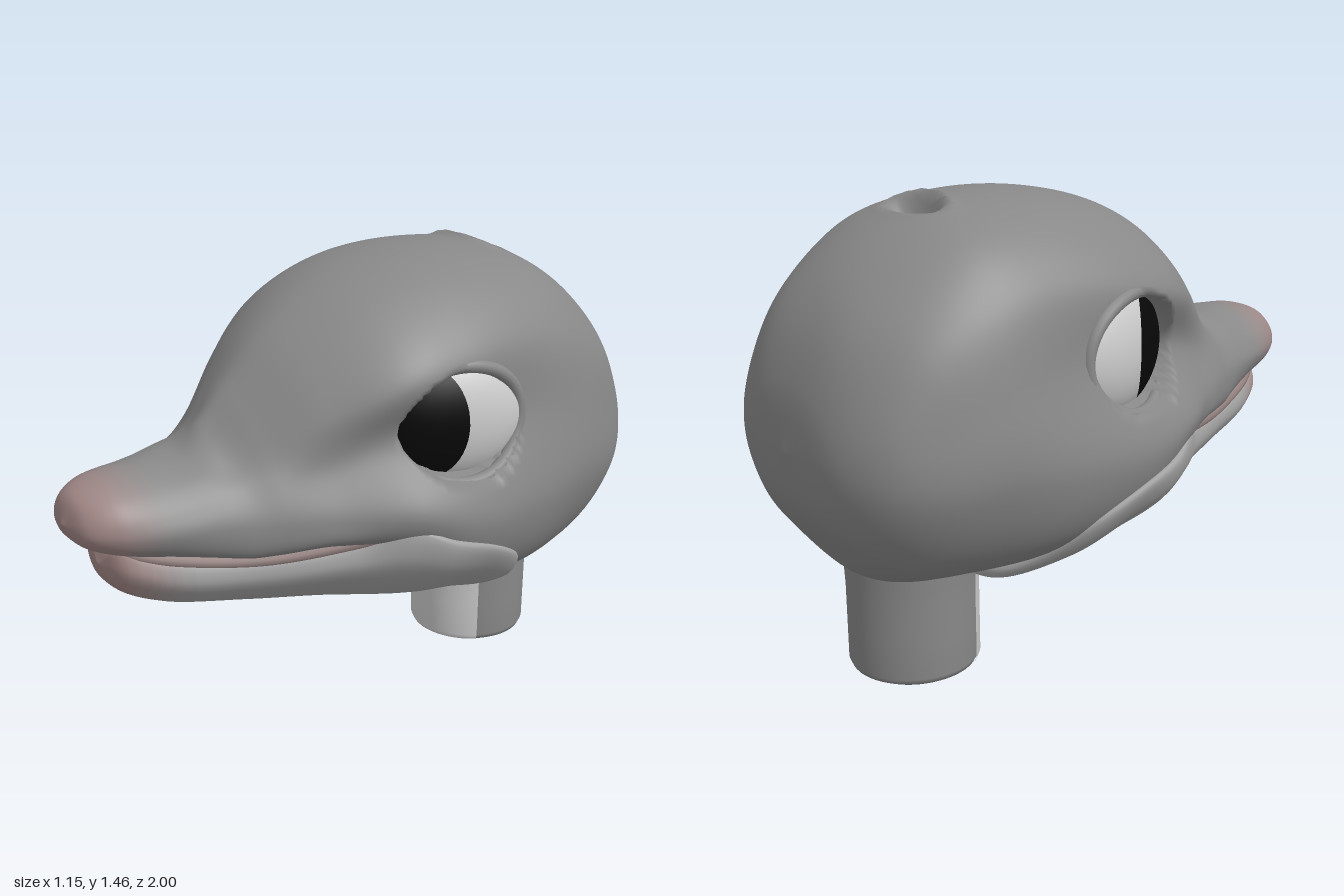
import * as THREE from 'three';
import { mergeVertices } from 'three/addons/utils/BufferGeometryUtils.js';

const SKIN = 0x888888, BELLY = 0xa4a4a4, PINK = 0xa08684;
const mat = (color, side = THREE.FrontSide) => new THREE.MeshStandardMaterial({ color, side });
const smooth = THREE.MathUtils.smoothstep;

function part(name, geometry, material) {
  const m = new THREE.Mesh(geometry, material);
  m.name = name;
  return m;
}

// Lofts mirrored half sections, ordered back to front. Each section runs from
// top centre down the +x side to bottom centre. The front end is tinted in bands.
function loft(sections, rings, around, color, tintFrom, tintTo, deform = () => {}) {
  const n = sections[0].length;
  const rails = sections[0].map((_, k) => new THREE.CatmullRomCurve3(sections.map(s => s[k])));
  const pos = [], idx = [], ringZ = [];
  for (let i = 0; i <= rings; i++) {
    const half = rails.map(r => r.getPoint(i / rings));
    const mirrored = half.slice(1, n - 1).reverse().map(p => new THREE.Vector3(-p.x, p.y, p.z));
    const loop = new THREE.CatmullRomCurve3([...half, ...mirrored], true);
    ringZ.push(half[n >> 1].z);
    for (let j = 0; j < around; j++) {
      const p = loop.getPoint(j / around);
      deform(p);
      pos.push(p.x, p.y, p.z);
    }
  }
  for (let i = 0; i < rings; i++) {
    for (let j = 0; j < around; j++) {
      const a = i * around + j, c = i * around + (j + 1) % around;
      idx.push(a, a + around, c, c, a + around, c + around);
    }
  }
  let g = new THREE.BufferGeometry();
  g.setAttribute('position', new THREE.Float32BufferAttribute(pos, 3));
  g.setIndex(idx);
  g = mergeVertices(g, 1e-5);
  g.computeVertexNormals();
  // tint bands
  const steps = 8, materials = [];
  for (let s = 0; s <= steps; s++) {
    materials.push(mat(new THREE.Color(color).lerp(new THREE.Color(PINK), s / steps)));
  }
  let start = 0;
  const band = i => Math.round(smooth(ringZ[i], tintFrom, tintTo) * steps);
  for (let i = 1; i <= rings; i++) {
    if (i === rings || band(i) !== band(start)) {
      g.addGroup(start * around * 6, (i - start) * around * 6, band(start));
      start = i;
    }
  }
  return [g, materials];
}

// Section from a row: z, top y, side points (x, y)..., bottom y
function section([z, top, ...rest]) {
  const bottom = rest.pop();
  const pts = [new THREE.Vector3(0, top, z)];
  for (let i = 0; i < rest.length; i += 2) pts.push(new THREE.Vector3(rest[i], rest[i + 1], z));
  pts.push(new THREE.Vector3(0, bottom, z));
  return pts;
}
const pole = (z, y, n) => Array.from({ length: n }, () => new THREE.Vector3(0, y, z));

const CRANIUM = [
  [-.975, .97, .12, .95, .21, .88, .25, .8, .235, .72, .15, .63, .61],
  [-.9, 1.15, .18, 1.12, .31, 1.0, .375, .86, .37, .7, .24, .53, .48],
  [-.78, 1.29, .24, 1.235, .39, 1.1, .45, .9, .455, .69, .3, .45, .35],
  [-.58, 1.41, .29, 1.35, .44, 1.2, .505, .97, .525, .71, .38, .44, .33],
  [-.35, 1.45, .3, 1.385, .46, 1.23, .5, 1.0, .56, .7, .45, .46, .33],
  [-.1, 1.435, .28, 1.38, .475, 1.2, .475, 1.0, .575, .71, .46, .5, .4],
  [.1, 1.38, .26, 1.32, .45, 1.15, .41, .98, .53, .76, .45, .64, .55],
];
const SNOUT = [
  [.3, 1.265, .19, 1.2, .33, 1.06, .34, .92, .41, .77, .39, .69, .66],
  [.45, 1.115, .12, 1.06, .22, .97, .29, .88, .335, .77, .31, .675, .66],
  [.54, 1.015, .07, .985, .16, .93, .24, .87, .29, .775, .265, .67, .66],
  [.62, .945, .08, .94, .16, .91, .225, .85, .258, .775, .225, .68, .67],
  [.75, .94, .08, .925, .15, .885, .198, .83, .216, .775, .17, .7, .7],
  [.9, .92, .07, .91, .13, .875, .162, .83, .167, .785, .13, .735, .72],
  [.97, .885, .05, .875, .085, .85, .105, .82, .105, .79, .075, .76, .75],
];
const JAW = [
  [-.46, .36, .2, .37, .29, .36, .27, .33, .18, .31, .3],
  [-.3, .48, .4, .52, .515, .535, .47, .445, .3, .345, .3],
  [-.15, .55, .45, .59, .57, .622, .52, .52, .33, .39, .345],
  [0, .6, .43, .64, .558, .675, .535, .575, .34, .42, .37],
  [.12, .66, .38, .69, .495, .725, .495, .615, .31, .44, .385],
  [.25, .65, .31, .66, .385, .68, .405, .605, .26, .46, .4],
  [.5, .63, .2, .64, .27, .65, .28, .59, .18, .49, .455],
  [.75, .67, .12, .68, .17, .685, .19, .62, .12, .54, .515],
  [.87, .715, .06, .715, .09, .715, .115, .66, .075, .6, .585],
];

// Hollows the eye sockets and dents the slot on top of the head
function shapeHead(p) {
  const ax = Math.abs(p.x);
  if (ax > .2) {
    const d = Math.hypot((p.y - 1) / .17, (p.z + .09) / .2);
    const floor = Math.min(ax, .38 - .3 * (p.z + .09));
    p.x = Math.sign(p.x) * THREE.MathUtils.lerp(floor, ax, smooth(d, .85, 1));
  }
  if (p.y > 1.2) {
    const d = Math.hypot(p.x / .105, (p.z + .53) / .055);
    const ridge = .006 + .018 * smooth(p.z, -.56, -.46);
    p.y += ridge * Math.exp(-(((d - 1.15) / .28) ** 2)) - .08 * Math.exp(-(d ** 4) * 1.5);
  }
}

// One eye on the +x side: eyeball, dark pupil cap and surrounding lid
function makeEye(name) {
  const eye = new THREE.Group();
  eye.name = name;
  const ball = new THREE.Group();
  ball.name = 'eyeball';
  ball.position.set(.383, 1, -.122);
  ball.rotation.y = -.3;
  ball.scale.set(.11, .2, .24);
  ball.add(part('eyeWhite', new THREE.SphereGeometry(1, 48, 32), mat(0xe6e6e6)));
  const cap = new THREE.SphereGeometry(1.012, 48, 24, 0, Math.PI * 2, 0, 1.06);
  cap.rotateX(Math.PI / 2).rotateY(.54);
  ball.add(part('pupil', cap, mat(0x080808)));
  const rim = [];
  for (let i = 0; i < 24; i++) {
    const a = i / 24 * Math.PI * 2, s = Math.sin(a), z = -.09 + .212 * Math.cos(a);
    rim.push(new THREE.Vector3(.425 - .29 * (z + .09) + (s > 0 ? .035 : .07) * s * s, 1 + .178 * s, z));
  }
  const lid = new THREE.TubeGeometry(new THREE.CatmullRomCurve3(rim, true), 72, .021, 12, true);
  eye.add(ball, part('eyelid', lid, mat(SKIN)));
  return eye;
}

export function createModel() {
  const model = new THREE.Group();
  model.name = 'creatureHead';

  // Head and upper snout
  const head = [pole(-1, .78, 7), ...CRANIUM.map(section), ...SNOUT.map(section), pole(1, .81, 7)];
  model.add(part('head', ...loft(head, 240, 144, SKIN, .72, .98, shapeHead)));

  // Lower jaw with its raised rear edge
  const jaw = [pole(-.49, .335, 6), ...JAW.map(section), pole(.9, .66, 6)];
  model.add(part('lowerJaw', ...loft(jaw, 120, 72, BELLY, .65, .9)));

  // Soft lip line along the mouth
  const side = [[.46, .71, .14], [.38, .675, .25], [.262, .65, .5], [.162, .685, .75], [.09, .71, .85]]
    .map(p => new THREE.Vector3(...p));
  const otherSide = side.slice().reverse().map(p => new THREE.Vector3(-p.x, p.y, p.z));
  const lip = new THREE.CatmullRomCurve3([...side, new THREE.Vector3(0, .715, .875), ...otherSide]);
  model.add(part('lowerLip', new THREE.TubeGeometry(lip, 80, .02, 10), mat(0x92807e)));

  // Eyes
  const leftEye = makeEye('leftEye'), rightEye = makeEye('rightEye');
  rightEye.scale.x = -1;
  model.add(leftEye, rightEye);

  // Neck with a socket in its underside, and a pale front panel
  const v = (x, y) => new THREE.Vector2(x, y);
  const outer = [v(.195, .012), v(.203, .03), v(.203, .15), v(.203, .27), v(.205, .32), v(.208, .38)];
  const inner = [v(0, .16), v(.095, .16), v(.1, .15), v(.1, .02), v(.11, .004), v(.125, 0), v(.175, 0)];
  const neck = part('neck', new THREE.LatheGeometry([...inner, ...outer], 64), mat(SKIN, THREE.DoubleSide));
  const panelProfile = outer.slice(0, 5).map(p => v(p.x + .004, p.y));
  const panel = part('neckFrontPanel', new THREE.LatheGeometry(panelProfile, 32, -1, 2), mat(0xcccccc, THREE.DoubleSide));
  neck.position.z = panel.position.z = -.585;
  model.add(neck, panel);

  return model;
}
